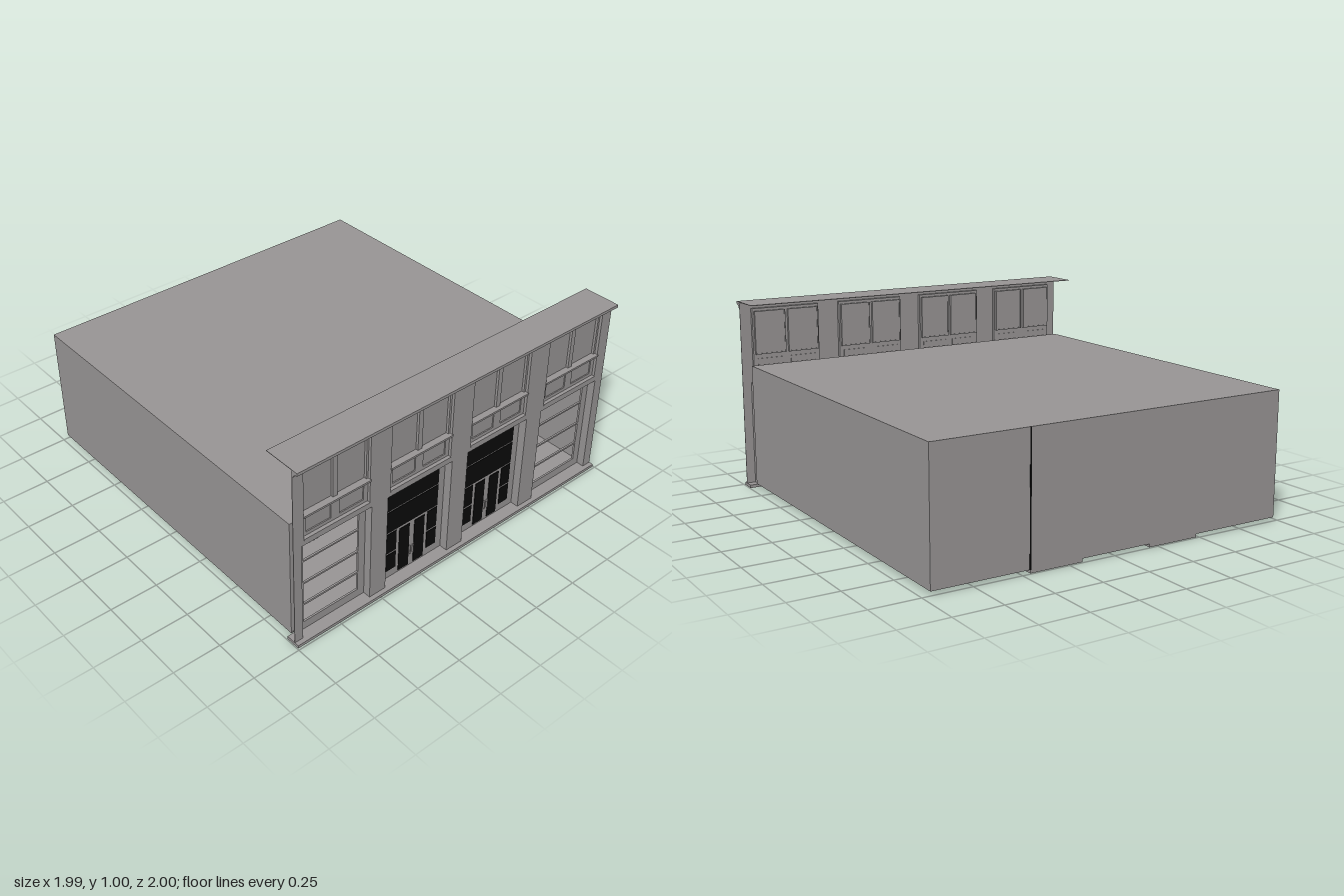
import * as THREE from 'three';

const grey = new THREE.MeshStandardMaterial({ color: 0x989595, side: THREE.DoubleSide });
grey.name = 'wallGrey';
const black = new THREE.MeshStandardMaterial({ color: 0x0a0a0a, side: THREE.DoubleSide });
black.name = 'darkGlass';

// Box given by its limits on each axis
function block(name, x0, x1, y0, y1, z0, z1, mat = grey) {
  const m = new THREE.Mesh(new THREE.BoxGeometry(x1 - x0, y1 - y0, z1 - z0), mat);
  m.position.set((x0 + x1) / 2, (y0 + y1) / 2, (z0 + z1) / 2);
  m.name = name;
  return m;
}

// Upright plate with rectangular holes; rectangles are [x0, x1, y0, y1]
function plate(name, r, holes, z0, z1) {
  const trace = (p, [x0, x1, y0, y1]) =>
    p.moveTo(x0, y0).lineTo(x1, y0).lineTo(x1, y1).lineTo(x0, y1).closePath();
  const shape = new THREE.Shape();
  trace(shape, r);
  for (const h of holes) {
    const path = new THREE.Path();
    trace(path, h);
    shape.holes.push(path);
  }
  const geo = new THREE.ExtrudeGeometry(shape, { depth: z1 - z0, bevelEnabled: false });
  geo.translate(0, 0, z0);
  const m = new THREE.Mesh(geo, grey);
  m.name = name;
  return m;
}

const grow = ([a, b, c, d], e) => [a - e, b + e, c - e, d + e];
const bayCentres = [-0.75, -0.255, 0.245, 0.745];
const lowerBay = c => [c - 0.199, c + 0.199, 0.016, 0.56];
const upperBay = c => [c - 0.186, c + 0.186, 0.59, 0.958];
const paneRows = [[0.06, 0.16], [0.17, 0.287], [0.296, 0.418], [0.426, 0.516]];

// Large hollow hall behind the front wall
function createHall() {
  const g = new THREE.Group();
  g.name = 'hall';
  const L = -0.973, R = 0.959, t = 0.006, back = -1, front = 0.914, base = 0.02, top = 0.663;
  g.add(
    block('floor', L, R, base, base + t, back, front),
    block('roof', L, R, top - t, top, back, front),
    block('rightWall', L, L + t, base + t, top - t, back, front),
    block('leftWall', R - t, R, base + t, top - t, back, front),
    block('backWall', L + t, R - t, base + t, top - t, back, back + t),
    block('backSeam', 0.456, 0.464, base, top, back - 0.001, back, black),
    plate('innerFrontWall', [L + t, R - t, base + t, top - t],
      bayCentres.map(c => [c - 0.199, c + 0.199, base + 0.01, 0.56]), 0.905, 0.912),
  );
  for (const x of [-0.507, 0.493]) {
    for (const z of [-0.315, 0.47]) {
      g.add(block('column', x - 0.038, x + 0.038, 0.003, top - t, z - 0.038, z + 0.038));
    }
  }
  for (const x of [-0.34, 0.32]) {
    g.add(block('backPier', x - 0.14, x + 0.14, 0.003, top - t, back + 0.001, -0.95));
  }
  return g;
}

// Open glazing grid for the outer bays
function createShopWindow(c) {
  const g = new THREE.Group();
  g.name = 'shopWindow';
  g.add(plate('shopWindowFrame', lowerBay(c),
    paneRows.map(([a, b]) => [c - 0.16, c + 0.16, a, b]), 0.915, 0.925));
  return g;
}

// Double door with side lights and transom for the inner bays
function createEntrance(c) {
  const g = new THREE.Group();
  g.name = 'entrance';
  g.add(plate('entranceFrame', lowerBay(c), [], 0.915, 0.923));
  const glass = (name, x0, x1, y0, y1) =>
    g.add(block(name, c + x0, c + x1, y0, y1, 0.923, 0.926, black));
  paneRows.forEach(([a, b], i) => {
    if (i > 1) glass('transomGlass', -0.16, 0.16, a, b);
    else for (const s of [-1, 1]) {
      glass('sideLight', s < 0 ? -0.16 : 0.099, s < 0 ? -0.099 : 0.16, a, b);
    }
  });
  for (const s of [-1, 1]) {
    glass('doorGlass', s < 0 ? -0.08 : 0.016, s < 0 ? -0.016 : 0.08, 0.025, 0.281);
    g.add(block('doorHandle', c + s * 0.009 - 0.002, c + s * 0.009 + 0.002, 0.09, 0.14, 0.923, 0.932));
  }
  return g;
}

// Paired upper windows above two sunken panels
function createUpperBay(c) {
  const g = new THREE.Group();
  g.name = 'upperBay';
  const r = upperBay(c);
  const windows = [[c - 0.175, c - 0.013, 0.722, 0.942], [c + 0.013, c + 0.175, 0.722, 0.942]];
  const panels = [[c - 0.162, c - 0.024, 0.612, 0.69], [c + 0.024, c + 0.162, 0.612, 0.69]];
  g.add(
    plate('upperReveal', grow(r, 0.003), [r], 0.945, 0.964),
    plate('upperFrame', r, [...windows, ...panels], 0.945, 0.951),
    block('windowSill', r[0] - 0.002, r[1] + 0.002, 0.712, 0.722, 0.951, 0.972),
    block('lowerSill', r[0], r[1], 0.585, 0.594, 0.951, 0.969),
  );
  for (const w of windows) {
    g.add(plate('windowReveal', grow(w, 0.005), [w], 0.931, 0.945));
    g.add(block('windowPane', w[0], w[1], w[2], w[3], 0.934, 0.938));
  }
  for (const p of panels) g.add(block('sunkenPanel', ...grow(p, 0.003), 0.941, 0.945));
  return g;
}

// Street front with cornice and plinth
function createFront() {
  const g = new THREE.Group();
  g.name = 'streetFront';
  const W = 0.995;
  g.add(plate('frontWall', [-W, W, 0, 0.99],
    bayCentres.flatMap(c => [lowerBay(c), upperBay(c)]), 0.963, 0.966));
  g.add(block('plinth', -W, W, 0, 0.016, 0.914, 0.99));

  bayCentres.forEach((c, i) => {
    const r = lowerBay(c);
    g.add(plate('bayReveal', grow(r, 0.003), [r], 0.915, 0.964));
    g.add(i === 0 || i === 3 ? createShopWindow(c) : createEntrance(c));
    g.add(createUpperBay(c));
  });

  // Moulding profile swept along the width
  const pts = [[0.964, 0.958], [0.97, 0.96], [0.978, 0.975], [0.99, 0.983], [1, 0.985], [1, 0.998], [0.964, 0.998]];
  const profile = new THREE.Shape(pts.map(([z, y]) => new THREE.Vector2(-z, y)));
  const geo = new THREE.ExtrudeGeometry(profile, { depth: 2 * W, bevelEnabled: false });
  geo.rotateY(Math.PI / 2).translate(-W, 0, 0);
  const cornice = new THREE.Mesh(geo, grey);
  cornice.name = 'cornice';
  g.add(cornice, block('parapetCap', -W, W, 0.997, 1, 0.8, 1));
  return g;
}

export function createModel() {
  const model = new THREE.Group();
  model.name = 'shopBuilding';
  model.add(createHall(), createFront());
  return model;
}
